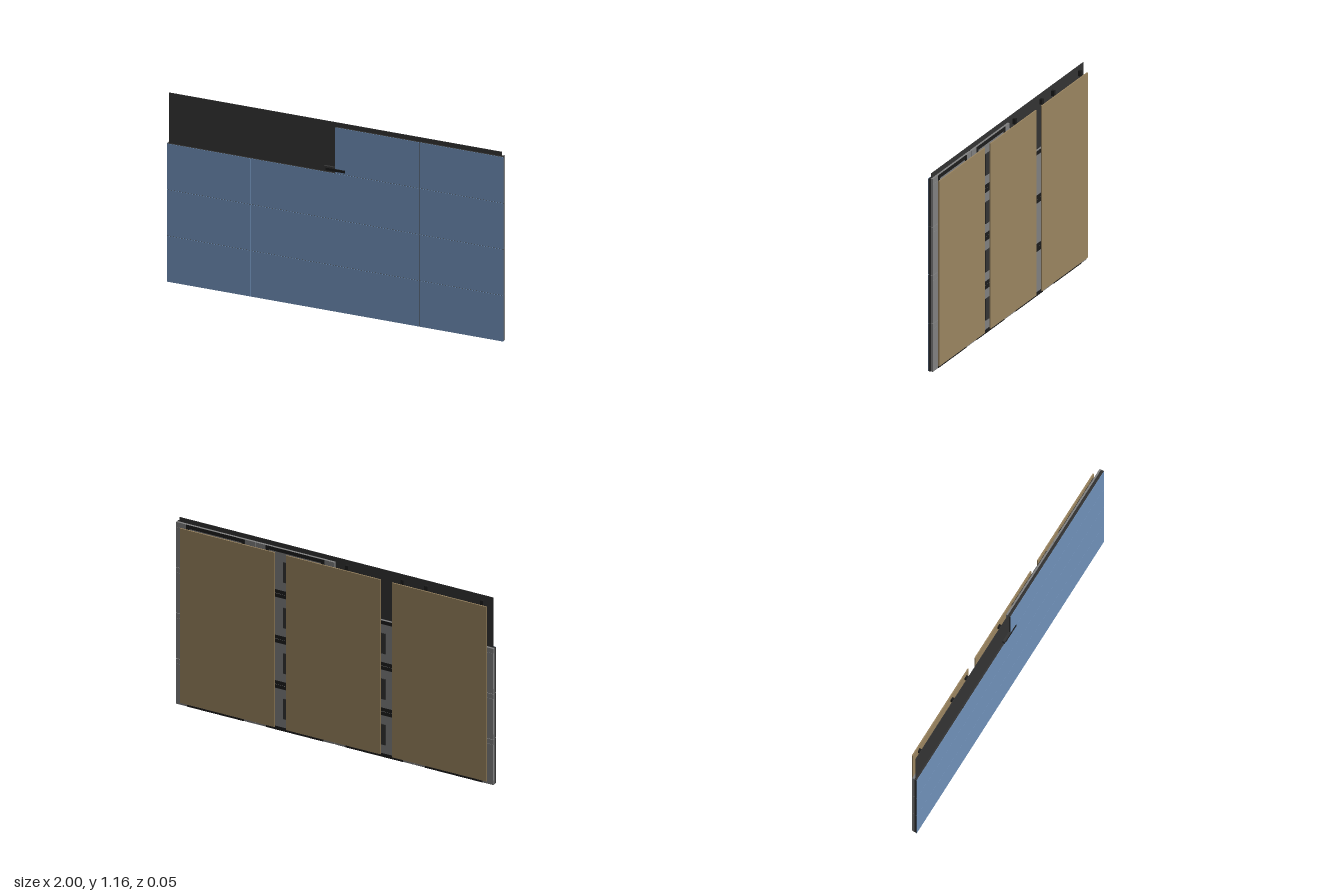
import * as THREE from 'three';

const mat = (color) => new THREE.MeshStandardMaterial({ color });
const BLUE = mat(0x6f90b8), DARK = mat(0x333333), BLACK = mat(0x1c1c1c);
const GREY = mat(0x808080), TAN = mat(0x9a8460);

// Box given by its limits on each axis
function block(parent, name, material, [x0, x1], [y0, y1], [z0, z1]) {
  const mesh = new THREE.Mesh(new THREE.BoxGeometry(x1 - x0, y1 - y0, z1 - z0), material);
  mesh.position.set((x0 + x1) / 2, (y0 + y1) / 2, (z0 + z1) / 2);
  mesh.name = name;
  parent.add(mesh);
  return mesh;
}

const W = 0.5, H = 0.283, COLS = 4, ROWS = 4;

// One display cabinet, centred on its own cell
function createPanel() {
  const panel = new THREE.Group();
  panel.name = 'displayPanel';
  const w = W / 2 - 0.0012, h = H / 2 - 0.0012;
  block(panel, 'screenFace', BLUE, [-w, w], [-h, h], [0.023, 0.025]);
  block(panel, 'moduleBody', DARK, [-w, w], [-h, h], [0.009, 0.023]);
  block(panel, 'cabinetFrame', GREY, [-w, w], [-h, h], [-0.004, 0.009]);
  block(panel, 'powerBox', DARK, [-0.072, 0.072], [-0.063, 0.063], [-0.0095, -0.004]);
  // Dark rails along the upper and lower edges
  for (const s of [-1, 1]) {
    const y = s * (h - 0.011);
    block(panel, 'edgeRail', BLACK, [-0.18, 0.18], [y - 0.011, y + 0.011], [-0.006, -0.004]);
  }
  // Grey joining strips at the sides
  for (const s of [-1, 1]) {
    const x = s * (w - 0.029);
    block(panel, 'sideStrip', GREY, [x - 0.028, x + 0.028], [-h + 0.03, h - 0.03], [-0.0055, -0.004]);
  }
  return panel;
}

export function createModel() {
  const wall = new THREE.Group();
  wall.name = 'displayWall';

  // Panel grid with two cells left open at the top
  for (let r = 0; r < ROWS; r++) {
    for (let c = 0; c < COLS; c++) {
      if (r === ROWS - 1 && c < 2) continue;
      const panel = createPanel();
      panel.position.set(-1 + W * (c + 0.5), H * (r + 0.5), 0);
      wall.add(panel);
    }
  }

  // Dark sheet behind the screens
  block(wall, 'backSheet', DARK, [-0.99, 0.985], [0.004, 1.157], [0.011, 0.0145]);

  // Mounting tabs along the top
  for (let c = 0; c < COLS; c++) {
    for (const s of [-1, 1]) {
      const x = -1 + W * (c + 0.5) + s * 0.175;
      block(wall, 'topTab', BLACK, [x - 0.01, x + 0.01], [1.1, 1.1305], [-0.007, 0.011]);
    }
  }

  // Three boards standing behind the wall
  for (const x of [-0.967, -0.3, 0.368]) {
    block(wall, 'rearBoard', TAN, [x, x + 0.595], [0.025, 1.11], [-0.026, -0.019]);
  }

  // Small latch on the front at the corner of the opening
  const latch = new THREE.Group();
  latch.name = 'latch';
  block(latch, 'latchPlate', DARK, [-0.065, 0], [0.857, 0.885], [0.0145, 0.027]);
  block(latch, 'latchHandle', BLACK, [-0.055, 0.06], [0.861, 0.876], [0.025, 0.029]);
  wall.add(latch);

  return wall;
}
